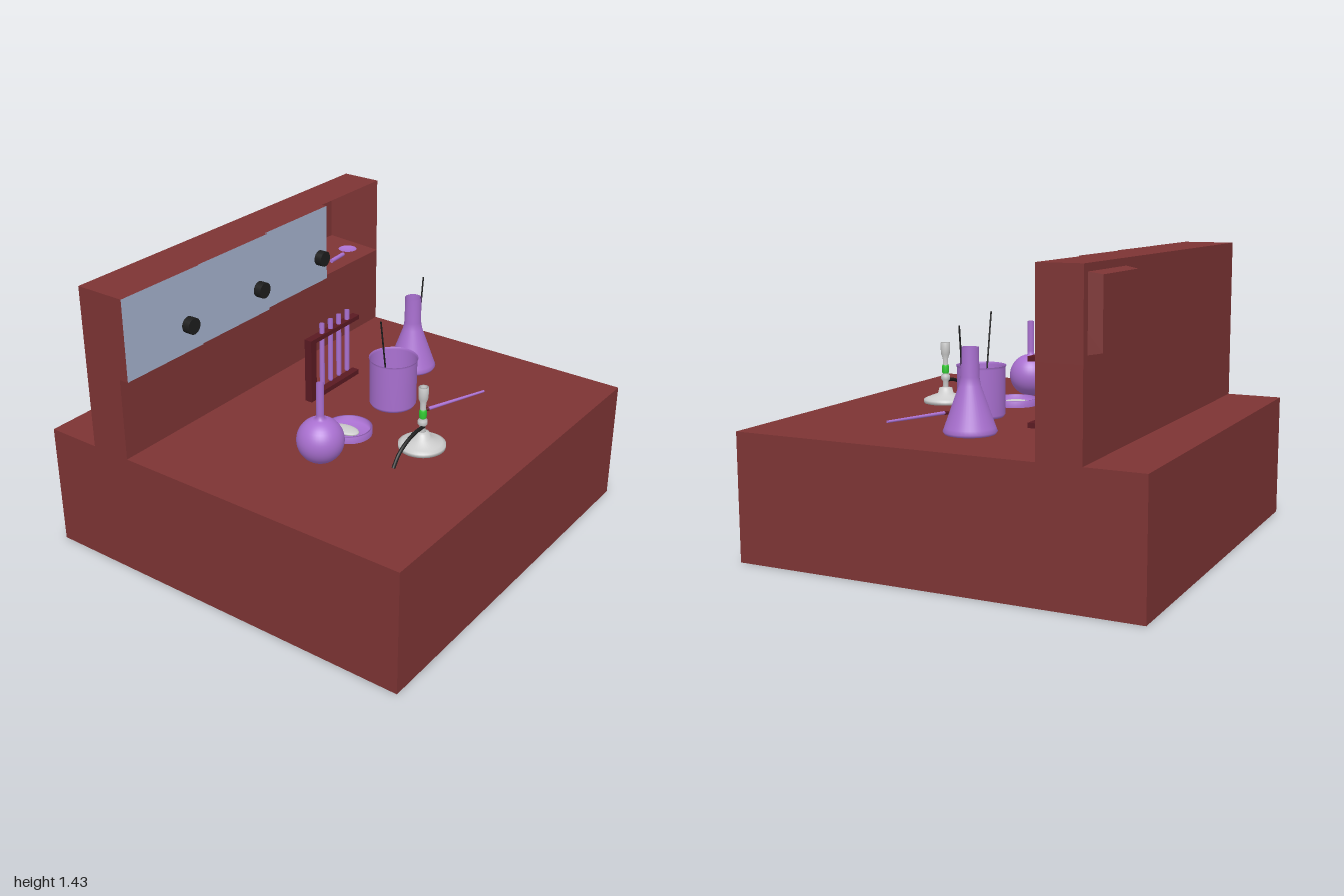
import * as THREE from 'three';

const mat = (color) => new THREE.MeshStandardMaterial({ color, side: THREE.DoubleSide });

export function createModel() {
  const root = new THREE.Group();
  const red = mat(0x7d3434), darkRed = mat(0x5a1a22), panel = mat(0xa4b0cc), glass = mat(0xa970d0);
  const black = mat(0x1c1c1c), grey = mat(0xcccccc);
  const green = mat(0x33cc33), blue = mat(0x1144dd), yellow = mat(0xddcc22);

  const add = (name, geo, material, x = 0, y = 0, z = 0, parent = root) => {
    const m = new THREE.Mesh(geo, material);
    m.name = name;
    m.position.set(x, y, z);
    parent.add(m);
    return m;
  };
  // box given by its minimum and maximum on each axis
  const block = (name, material, x0, x1, y0, y1, z0, z1, parent) =>
    add(name, new THREE.BoxGeometry(x1 - x0, y1 - y0, z1 - z0), material,
      (x0 + x1) / 2, (y0 + y1) / 2, (z0 + z1) / 2, parent);
  const lathe = (pts, seg = 40) =>
    new THREE.LatheGeometry(pts.map(([r, y]) => new THREE.Vector2(r, y)), seg);
  const disc = (name, r, material, y, parent) =>
    add(name, new THREE.CircleGeometry(r, 32).rotateX(-Math.PI / 2), material, 0, y, 0, parent);
  // straight round rod between two points, radius ra at a and rb at b
  const rod = (name, a, b, ra, rb, material) => {
    const p = new THREE.Vector3(...a), q = new THREE.Vector3(...b);
    const m = add(name, new THREE.CylinderGeometry(rb, ra, p.distanceTo(q), 14), material);
    m.position.copy(p).add(q).multiplyScalar(0.5);
    m.quaternion.setFromUnitVectors(new THREE.Vector3(0, 1, 0), q.sub(p).normalize());
    return m;
  };
  const group = (name, x, z) => {
    const g = new THREE.Group();
    g.name = name;
    g.position.set(x, 0.622, z);
    root.add(g);
    return g;
  };

  // bench and back wall
  block('bench', red, -1, 1, 0, 0.62, -1, 1);
  block('wall', red, -0.72, -0.51, 0.62, 1.03, -1, 1);
  block('cabinet', red, -0.72, -0.51, 1.03, 1.43, -0.5, 1);

  // open cubby: rectangles joined in order, the last one closed as the back
  const rect = (x, t) => {
    const y0 = 1.03 + 0.04 * t, y1 = 1.43 - 0.04 * t, z0 = -1 + 0.05 * t, z1 = -0.5 - 0.055 * t;
    return [[x, y0, z0], [x, y0, z1], [x, y1, z1], [x, y1, z0]];
  };
  const rings = [rect(-0.72, 0.85), rect(-0.72, 0), rect(-0.51, 0), rect(-0.78, 1.1)];
  const pos = [];
  const quad = (a, b, c, d) => pos.push(...a, ...b, ...c, ...a, ...c, ...d);
  for (let i = 0; i < 3; i++)
    for (let k = 0; k < 4; k++) {
      const n = (k + 1) % 4;
      quad(rings[i][k], rings[i + 1][k], rings[i + 1][n], rings[i][n]);
    }
  quad(rings[3][0], rings[3][3], rings[3][2], rings[3][1]);
  const cubby = new THREE.BufferGeometry();
  cubby.setAttribute('position', new THREE.Float32BufferAttribute(pos, 3));
  cubby.computeVertexNormals();
  add('cubby', cubby, red);

  // staggered sliding doors with knobs; only the front face is painted
  [[-0.5, -0.482, -0.435], [0, -0.466, 0.075], [0.5, -0.46, 0.595]].forEach(([z, x, knobZ]) => {
    block('door', [panel, red, red, red, red, red], -0.512, x, 1.03, 1.43, z, z + 0.5);
    add('knob', new THREE.CylinderGeometry(0.04, 0.04, 0.045, 24).rotateZ(Math.PI / 2),
      black, x + 0.018, 1.167, knobZ);
  });

  // glassware lying in the cubby
  rod('lyingTube', [-0.57, 1.056, -0.66], [-0.58, 1.056, -0.78], 0.011, 0.011, glass);
  add('watchGlass', lathe([[0, 0], [0.03, 0.002], [0.05, 0.01]], 24), glass, -0.6, 1.052, -0.85);

  // test tube rack
  const rack = new THREE.Group();
  rack.name = 'testTubeRack';
  root.add(rack);
  block('rackPost', darkRed, -0.205, -0.165, 0.62, 0.955, 0.01, 0.052, rack);
  block('rackTop', darkRed, -0.205, -0.165, 0.932, 0.955, -0.35, 0.05, rack);
  block('rackFoot', darkRed, -0.205, -0.165, 0.62, 0.645, -0.35, 0.05, rack);
  const tube = lathe([[0, 0], [0.008, 0.003], [0.013, 0.014], [0.013, 0.345]], 16);
  for (let i = 0; i < 4; i++) add('testTube', tube, glass, -0.185, 0.66, -0.062 - 0.07 * i, rack);

  // conical flask with stirring rod
  const cone = group('conicalFlask', 0.01, -0.585);
  add('flaskBody', lathe([[0, 0], [0.118, 0], [0.125, 0.012], [0.118, 0.03],
    [0.05, 0.22], [0.043, 0.26], [0.042, 0.393]]), glass, 0, 0, 0, cone);
  disc('flaskLiquid', 0.1, green, 0.07, cone);
  rod('flaskRod', [0.035, 0.66, -0.585], [0.035, 1.115, -0.635], 0.004, 0.004, black);

  // beaker with stirring rod
  const beaker = group('beaker', 0.165, -0.18);
  add('beakerBody', lathe([[0, 0], [0.108, 0], [0.117, 0.015], [0.117, 0.24], [0.122, 0.252]]),
    glass, 0, 0, 0, beaker);
  disc('beakerLiquid', 0.114, blue, 0.1, beaker);
  rod('beakerRod', [0.182, 0.65, -0.12], [0.182, 1.12, -0.04], 0.004, 0.004, black);

  // shallow dish with a sample
  const dish = group('dish', 0.165, 0.195);
  add('dishBody', lathe([[0, 0.004], [0.105, 0.004], [0.105, 0.034], [0.114, 0.034], [0.114, 0]]),
    glass, 0, 0, 0, dish);
  add('sample', new THREE.SphereGeometry(1, 20, 10).scale(0.075, 0.013, 0.045),
    grey, -0.015, 0.012, 0.005, dish);

  // round flask: sphere arc running into a narrow neck
  const round = group('roundFlask', 0.217, 0.485);
  const arc = [];
  for (let i = 0; i <= 20; i++) {
    const a = (i / 20) * (Math.PI - 0.17);
    arc.push([0.111 * Math.sin(a), 0.111 - 0.111 * Math.cos(a)]);
  }
  add('roundBody', lathe([...arc, [0.018, 0.24], [0.018, 0.398]]), glass, 0, 0, 0, round);
  disc('roundLiquid', 0.1, yellow, 0.09, round);

  // gas burner
  const burner = group('burner', 0.52, 0.1);
  add('burnerBase', lathe([[0, 0], [0.112, 0], [0.113, 0.018], [0.095, 0.027], [0.04, 0.048],
    [0.034, 0.075], [0.016, 0.08]]), grey, 0, 0, 0, burner);
  add('burnerStem', lathe([[0.014, 0.07], [0.014, 0.11], [0.023, 0.12], [0.023, 0.14],
    [0.014, 0.15], [0.014, 0.23], [0.022, 0.25], [0.024, 0.275], [0.024, 0.311], [0.016, 0.311],
    [0.016, 0.25]], 24), grey, 0, 0, 0, burner);
  add('burnerCollar', lathe([[0.014, 0.15], [0.018, 0.156], [0.018, 0.188], [0.014, 0.196]], 24),
    green, 0, 0, 0, burner);
  const hose = new THREE.CatmullRomCurve3([[0.1, 0.732], [0.18, 0.73], [0.25, 0.71],
    [0.31, 0.675], [0.35, 0.625]].map(([z, y]) => new THREE.Vector3(0.528, y, z)));
  add('gasHose', new THREE.TubeGeometry(hose, 24, 0.009, 10), black);

  // pipette lying on the bench
  rod('pipette', [0.35, 0.63, -0.22], [0.475, 0.63, -0.545], 0.009, 0.006, glass);
  rod('pipetteTip', [0.34, 0.628, -0.195], [0.35, 0.63, -0.22], 0.009, 0.01, darkRed);
  return root;
}
